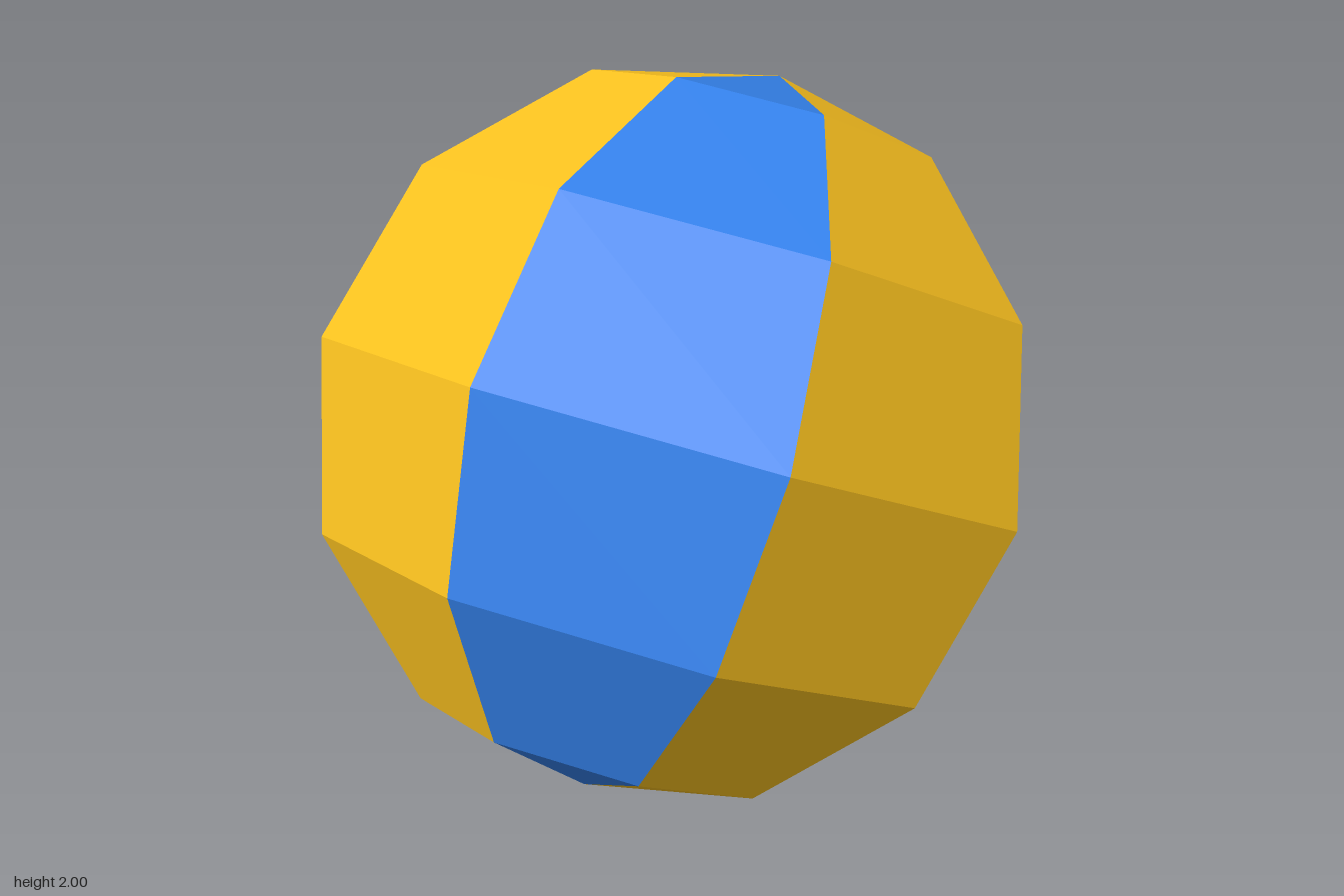
import * as THREE from 'three';

const SEGMENTS = 8;
const RINGS = 6;

export function createModel() {
  const model = new THREE.Group();
  model.name = 'beachBall';

  const blue = new THREE.MeshStandardMaterial({ color: 0x3583ee, flatShading: true });
  const yellow = new THREE.MeshStandardMaterial({ color: 0xfbc21f, flatShading: true });

  // Ball tilted so its poles lean to the side and back
  const ball = new THREE.Group();
  ball.name = 'tiltedBall';
  const axis = new THREE.Vector3(0.392, 0.873, -0.289).normalize();
  const seam = new THREE.Vector3(-0.71, 0.49, 0.51);
  seam.addScaledVector(axis, -seam.dot(axis)).normalize();
  const side = new THREE.Vector3().crossVectors(axis, seam);
  ball.quaternion.setFromRotationMatrix(new THREE.Matrix4().makeBasis(side, axis, seam));
  ball.position.y = 1;
  model.add(ball);

  // Half-circle profile from the bottom pole to the top pole
  const profile = [];
  for (let i = 0; i <= RINGS; i++) {
    const angle = (i / RINGS) * Math.PI;
    profile.push(new THREE.Vector2(Math.sin(angle), -Math.cos(angle)));
  }

  // Pole-to-pole panels, one flat facet wide, in alternating colours
  const step = (Math.PI * 2) / SEGMENTS;
  for (let i = 0; i < SEGMENTS; i++) {
    const geometry = new THREE.LatheGeometry(profile, 1, i * step, step);
    const panel = new THREE.Mesh(geometry, i % 2 ? yellow : blue);
    panel.name = (i % 2 ? 'yellowPanel' : 'bluePanel') + (Math.floor(i / 2) + 1);
    ball.add(panel);
  }
  return model;
}
